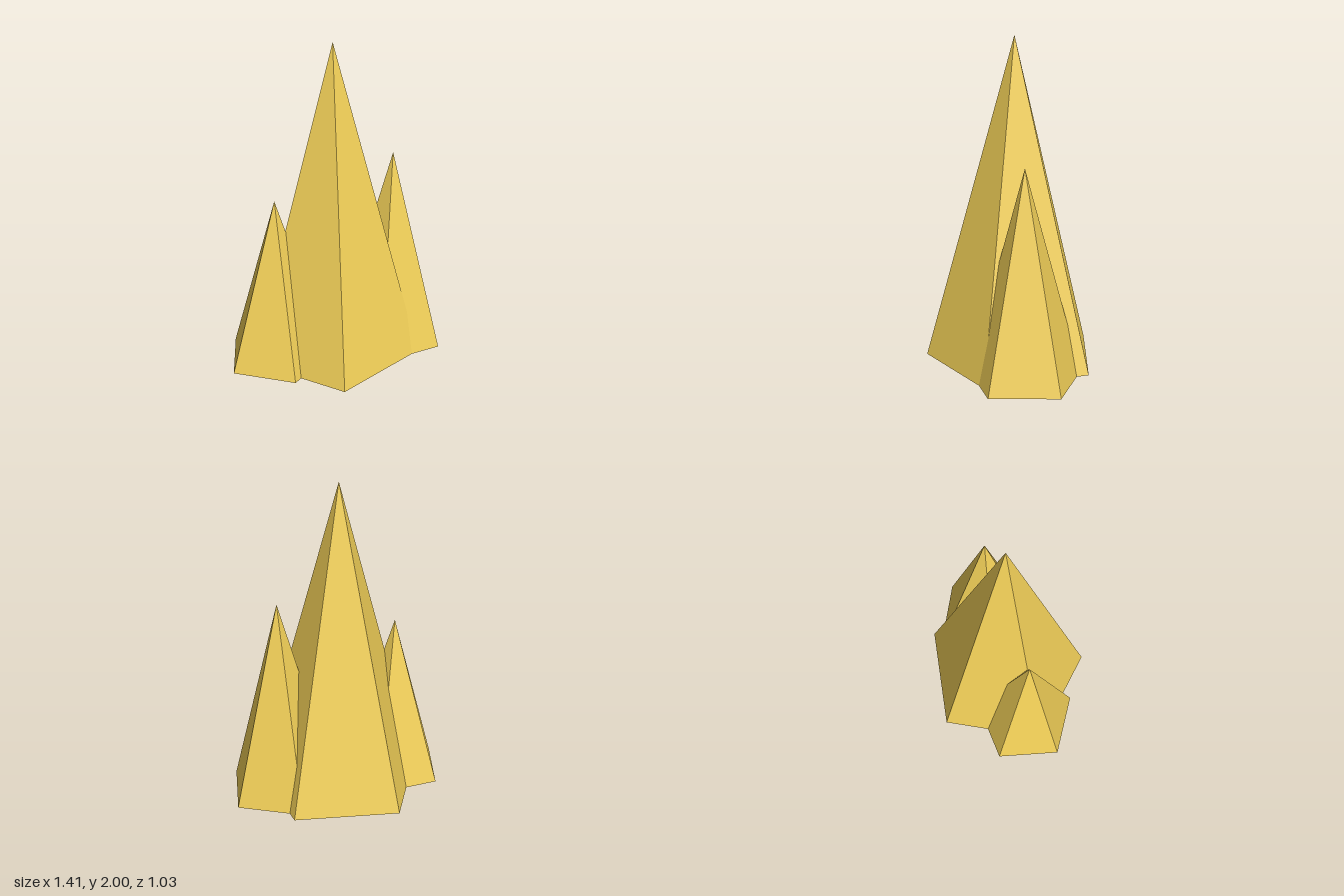
import * as THREE from 'three';

const material = new THREE.MeshStandardMaterial({ color: 0xf2d058, flatShading: true });

// Five-sided spike standing on the ground; angle is the direction of one base
// corner in degrees, measured from +x towards +z.
function spike(name, x, z, radius, height, angle) {
  const start = Math.PI / 2 - THREE.MathUtils.degToRad(angle);
  const geometry = new THREE.ConeGeometry(radius, height, 5, 1, false, start);
  geometry.translate(0, height / 2, 0);
  const mesh = new THREE.Mesh(geometry, material);
  mesh.name = name;
  mesh.position.set(x, 0, z);
  return mesh;
}

export function createModel() {
  const group = new THREE.Group();
  group.name = 'crystalCluster';
  group.add(
    spike('mainSpike', -0.01, 0.037, 0.555, 2, 49.4),
    spike('leftSpike', 0.348, 0.18, 0.355, 1.28, -4.9),
    spike('rightSpike', -0.367, -0.07, 0.338, 1.07, 180)
  );
  return group;
}
